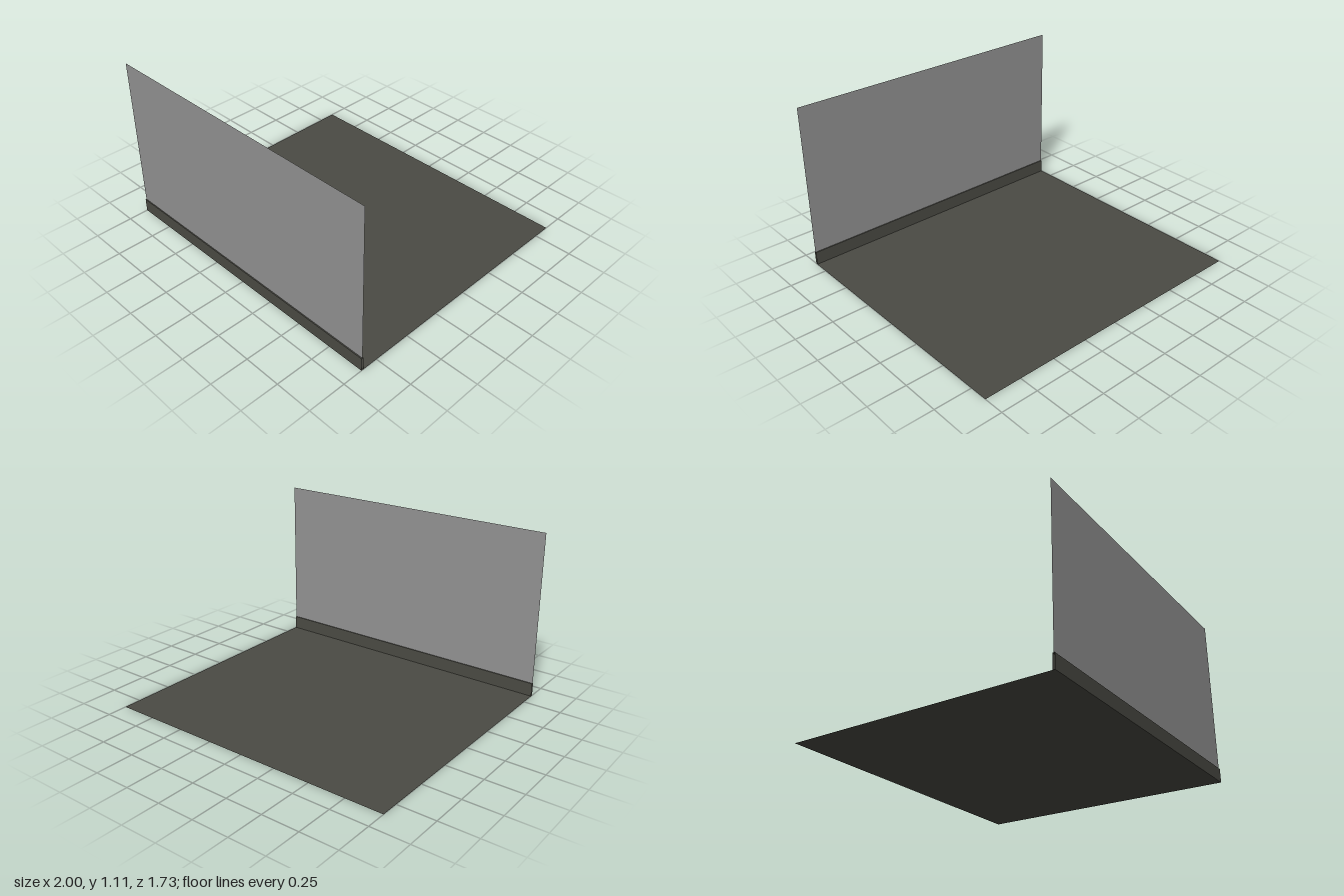
import * as THREE from 'three';

export function createModel() {
  const model = new THREE.Group();
  const floorPaint = new THREE.MeshStandardMaterial({ color: 0x4b4b44, side: THREE.DoubleSide });
  floorPaint.name = 'darkOlive';
  const panelPaint = new THREE.MeshStandardMaterial({ color: 0x939393, side: THREE.DoubleSide });
  panelPaint.name = 'midGrey';

  const FRONT = 0.867, INNER = 0.853, RAIL = 0.09, TOP = 1.11;

  // Zero-thickness sheet spanning the full width
  function sheet(name, height, y, z, material, flat = false) {
    const geometry = new THREE.PlaneGeometry(2, height);
    if (flat) geometry.rotateX(-Math.PI / 2);
    const mesh = new THREE.Mesh(geometry, material);
    mesh.name = name;
    mesh.position.set(0, y, z);
    model.add(mesh);
    return mesh;
  }

  // Ground sheet
  sheet('floor', FRONT * 2, 0, 0, floorPaint, true);

  // Low rail with open ends
  sheet('railFront', RAIL, RAIL / 2, FRONT, floorPaint);
  sheet('railBack', RAIL, RAIL / 2, INNER, floorPaint).rotation.y = Math.PI;
  sheet('railTop', FRONT - INNER, RAIL, (FRONT + INNER) / 2, floorPaint, true);

  // Upright panel standing on the rail
  sheet('uprightPanel', TOP - RAIL, (TOP + RAIL) / 2, (FRONT + INNER) / 2, panelPaint);

  return model;
}
